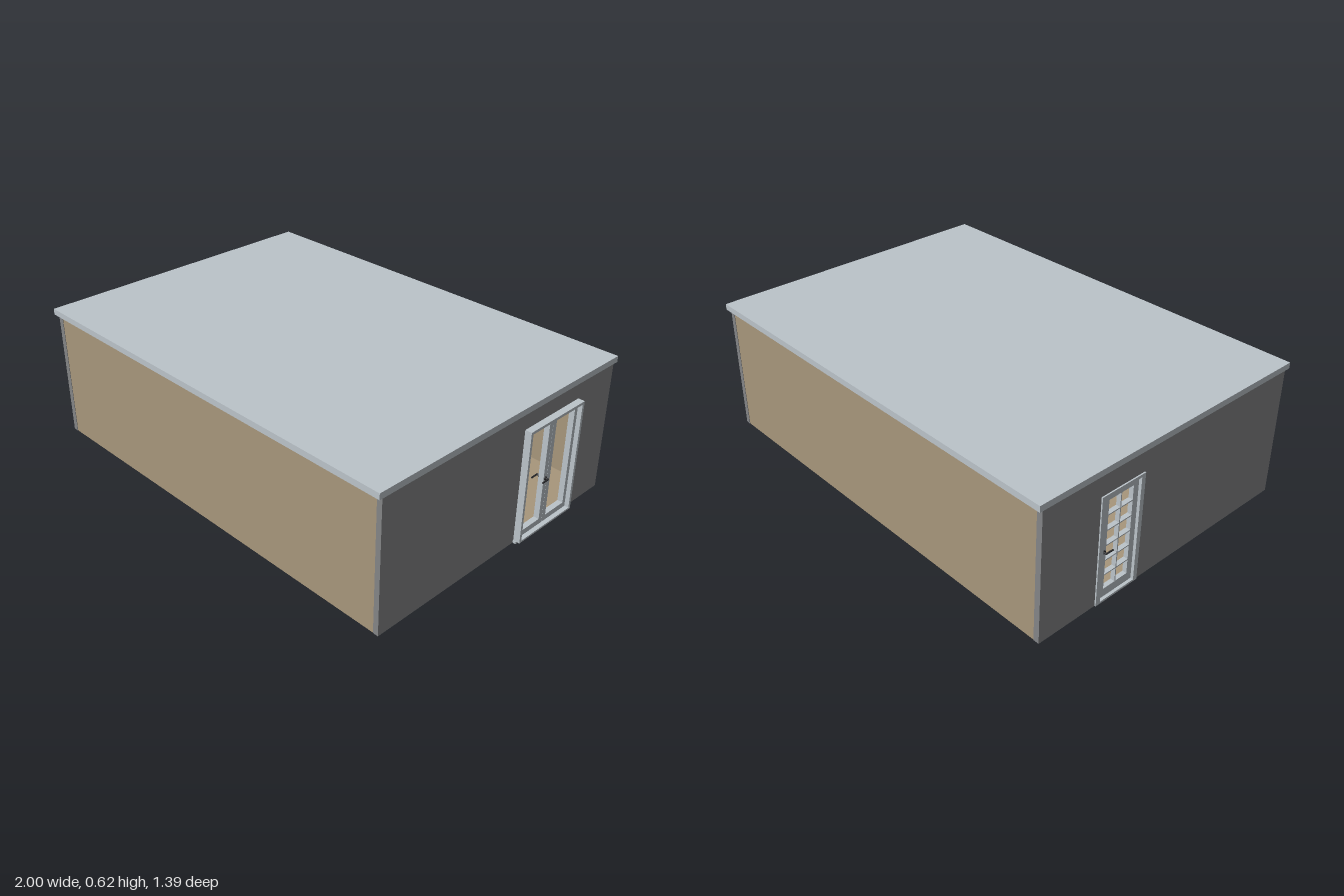
import * as THREE from 'three';

const mat = (name, color) => {
  const m = new THREE.MeshStandardMaterial({ color });
  m.name = name;
  return m;
};

export function createModel() {
  const tan = mat('tan cladding', 0xa8977c);
  const grey = mat('grey wall', 0x848587);
  const pale = mat('pale trim', 0xbcc4ca);
  const dark = mat('dark handle', 0x2b2b2d);

  const model = new THREE.Group();
  model.name = 'house';

  const add = (parent, name, geometry, material) => {
    const mesh = new THREE.Mesh(geometry, material);
    mesh.name = name;
    parent.add(mesh);
    return mesh;
  };
  // Box given by its limits
  const box = (parent, name, material, x0, x1, y0, y1, z0, z1) => {
    const mesh = add(parent, name, new THREE.BoxGeometry(x1 - x0, y1 - y0, z1 - z0), material);
    mesh.position.set((x0 + x1) / 2, (y0 + y1) / 2, (z0 + z1) / 2);
    return mesh;
  };
  // Panel facing along x, with rectangular holes; each rectangle is [z0, z1, y0, y1]
  const trace = (path, [a, b, c, d]) => {
    path.moveTo(a, c);
    path.lineTo(b, c);
    path.lineTo(b, d);
    path.lineTo(a, d);
    path.closePath();
    return path;
  };
  const panel = (parent, name, material, x0, x1, outer, holes) => {
    const shape = trace(new THREE.Shape(), outer);
    for (const h of holes) shape.holes.push(trace(new THREE.Path(), h));
    const g = new THREE.ExtrudeGeometry(shape, { depth: x1 - x0, bevelEnabled: false });
    g.rotateY(-Math.PI / 2).translate(x1, 0, 0);
    return add(parent, name, g, material);
  };
  // Lever handle: rose, spindle and lever pointing to +z; dir is the outward x direction
  const handle = (parent, x, y, z, dir) => {
    const g = new THREE.Group();
    g.name = 'handle';
    const rod = (name, r, len, px, pz, alongX) => {
      const m = add(g, name, new THREE.CylinderGeometry(r, r, len, 16), dark);
      if (alongX) m.rotation.z = Math.PI / 2;
      else m.rotation.x = Math.PI / 2;
      m.position.set(px, 0, pz);
    };
    rod('rose', 0.008, 0.004, dir * 0.002, 0, true);
    rod('spindle', 0.004, 0.016, dir * 0.008, 0, true);
    rod('lever', 0.0035, 0.038, dir * 0.014, 0.017, false);
    g.position.set(x, y, z);
    parent.add(g);
  };

  // Floor and roof slabs
  box(model, 'floor', tan, -0.992, 0.967, 0, 0.01, -0.675, 0.675);
  box(model, 'roof', pale, -1, 0.975, 0.595, 0.622, -0.697, 0.697);

  // Long clad walls at front and back
  for (const s of [1, -1]) {
    const z = [s * 0.676, s * 0.652].sort((a, b) => a - b);
    box(model, s > 0 ? 'frontWall' : 'backWall', tan, -0.968, 0.947, 0.003, 0.595, z[0], z[1]);
  }

  // End walls with door openings
  panel(model, 'leftWall', grey, 0.946, 0.97, [-0.678, 0.678, 0.002, 0.595],
    [[-0.435, -0.11, 0.011, 0.515]]);
  panel(model, 'rightWall', grey, -0.994, -0.968, [-0.678, 0.678, 0.002, 0.595],
    [[-0.38, -0.172, 0.011, 0.492]]);

  // Glazed double door
  const double = new THREE.Group();
  double.name = 'doubleDoor';
  model.add(double);
  panel(double, 'doubleDoorFrame', pale, 0.946, 1, [-0.445, -0.1, 0.012, 0.523],
    [[-0.433, -0.112, 0.02, 0.511]]);
  box(double, 'threshold', pale, 0.946, 0.985, 0.002, 0.012, -0.449, -0.097);
  panel(double, 'doorLeaf', pale, 0.955, 0.98, [-0.2715, -0.112, 0.02, 0.511],
    [[-0.25, -0.125, 0.045, 0.496]]);
  panel(double, 'doorLeaf', pale, 0.955, 0.98, [-0.433, -0.2725, 0.02, 0.511],
    [[-0.415, -0.294, 0.045, 0.496]]);
  handle(double, 0.98, 0.238, -0.261, 1);
  handle(double, 0.955, 0.238, -0.261, -1);

  // Single door with a grid of panes
  const single = new THREE.Group();
  single.name = 'singleDoor';
  model.add(single);
  panel(single, 'singleDoorFrame', pale, -1, -0.96, [-0.39, -0.163, 0.003, 0.5],
    [[-0.367, -0.183, 0.012, 0.487]]);
  const panes = [];
  for (let row = 0; row < 6; row++) {
    const y = 0.05 + row * 0.069;
    panes.push([-0.339, -0.277, y, y + 0.064], [-0.272, -0.21, y, y + 0.064]);
  }
  panel(single, 'paneledLeaf', pale, -0.987, -0.967, [-0.367, -0.183, 0.012, 0.487], panes);
  handle(single, -0.987, 0.231, -0.351, -1);
  handle(single, -0.967, 0.231, -0.351, 1);

  return model;
}
